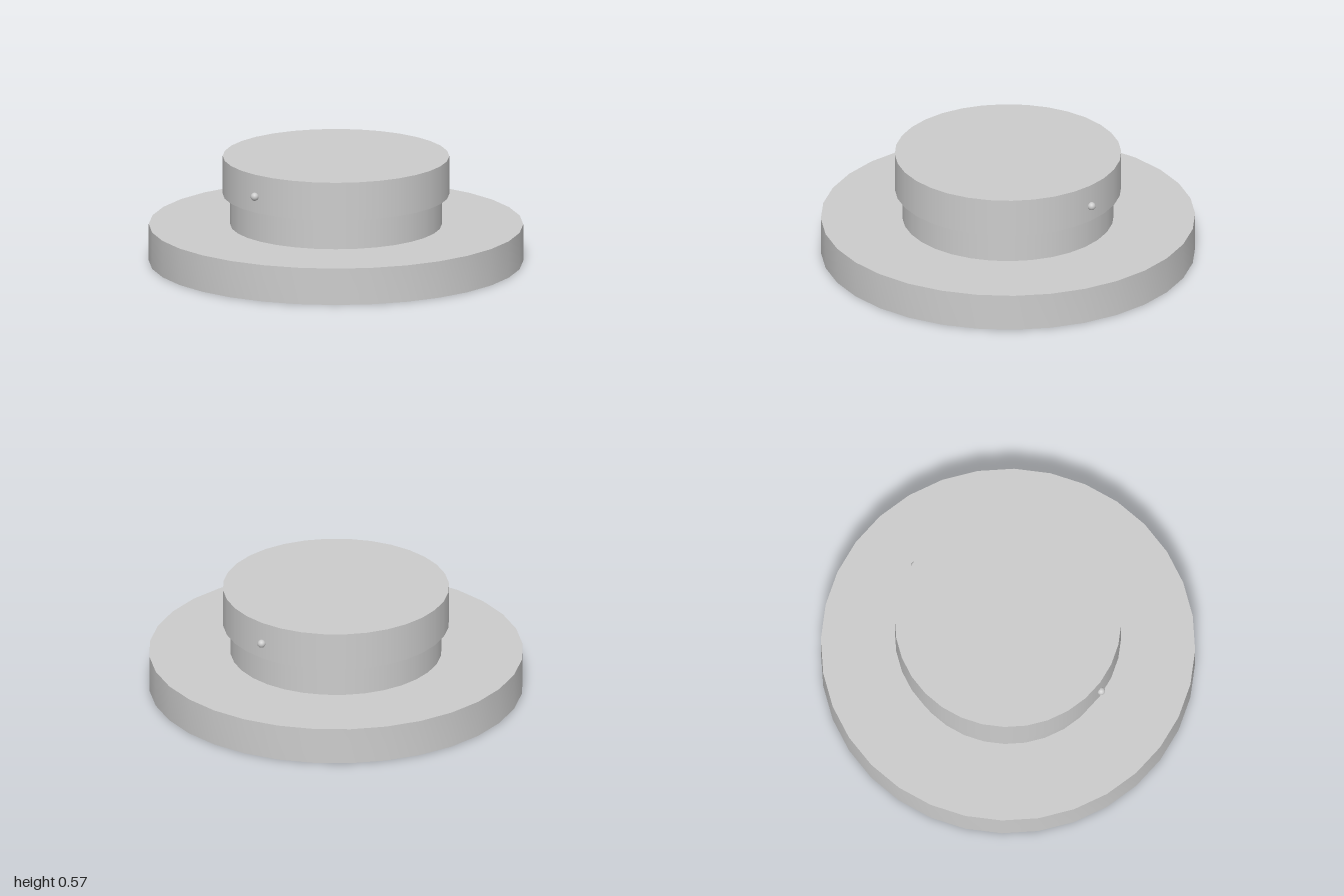
import * as THREE from 'three';
import { toCreasedNormals } from 'three/addons/utils/BufferGeometryUtils.js';

const SEGMENTS = 32;

export function createModel() {
  const model = new THREE.Group();
  model.name = 'roundPedestal';
  const material = new THREE.MeshStandardMaterial({ color: 0xcccccc });

  const add = (name, geometry, y = 0, z = 0) => {
    const mesh = new THREE.Mesh(geometry, material);
    mesh.name = name;
    mesh.position.set(0, y, z);
    model.add(mesh);
  };

  const disc = (name, radius, bottom, top) =>
    add(name, new THREE.CylinderGeometry(radius, radius, top - bottom, SEGMENTS), (bottom + top) / 2);

  // Wide base plate with a shallow recess underneath
  const profile = [[0, 0.04], [0.93, 0.04], [0.93, 0], [1, 0], [1, 0.2], [0, 0.2]]
    .map(([r, y]) => new THREE.Vector2(r, y));
  add('basePlate', toCreasedNormals(new THREE.LatheGeometry(profile, SEGMENTS), 0.6));

  // Narrow collar and overhanging cap
  disc('collar', 0.565, 0.2, 0.37);
  disc('cap', 0.605, 0.367, 0.575);

  // Small round studs on the front and back of the cap
  for (const [name, side] of [['frontStud', 1], ['backStud', -1]]) {
    add(name, new THREE.SphereGeometry(0.022, 16, 12), 0.456, side * 0.612);
  }

  return model;
}
